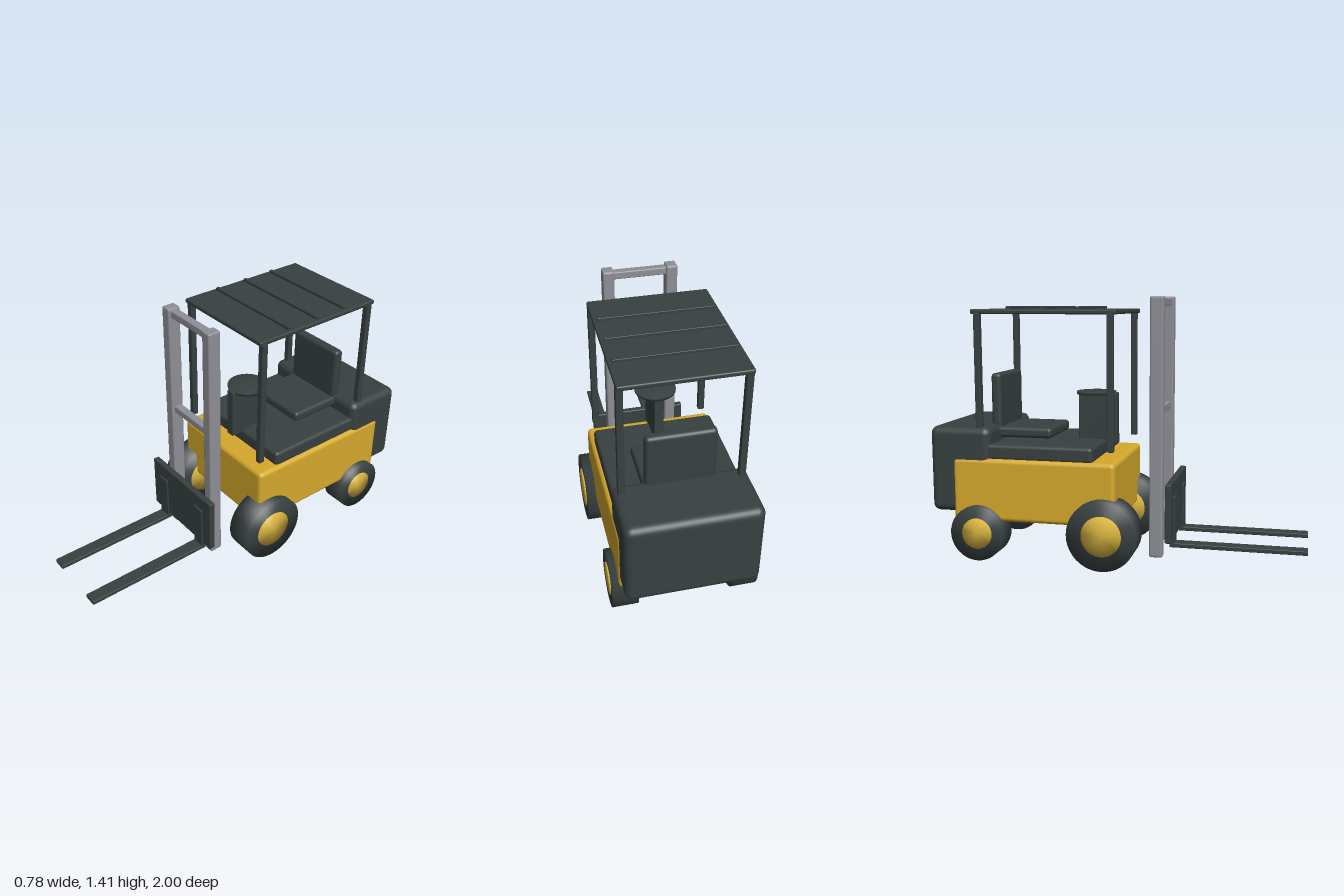
import * as THREE from 'three';
import { mergeVertices } from 'three/addons/utils/BufferGeometryUtils.js';
import { RoundedBoxGeometry } from 'three/addons/geometries/RoundedBoxGeometry.js';

const mat = (name, color) => {
  const m = new THREE.MeshStandardMaterial({ color });
  m.name = name;
  return m;
};

export function createModel() {
  const model = new THREE.Group();
  model.name = 'forklift';
  const yellow = mat('body yellow', 0xd6a92c);
  const hubYellow = mat('hub yellow', 0xd8b440);
  const dark = mat('charcoal', 0x384040);
  const steel = mat('mast grey', 0x8e8e96);

  const add = (name, geometry, material, x, y, z) => {
    const mesh = new THREE.Mesh(geometry, material);
    mesh.name = name;
    mesh.position.set(x, y, z);
    model.add(mesh);
    return mesh;
  };
  // Box from its lower and upper limits on each axis, optionally rounded
  const box = (name, material, [x0, x1], [y0, y1], [z0, z1], r = 0.005) =>
    add(name, new RoundedBoxGeometry(x1 - x0, y1 - y0, z1 - z0, 3, r), material,
      (x0 + x1) / 2, (y0 + y1) / 2, (z0 + z1) / 2);
  // The same box on both sides
  const pair = (name, material, [x0, x1], y, z, r) => {
    box(name + 'Left', material, [x0, x1], y, z, r);
    box(name + 'Right', material, [-x1, -x0], y, z, r);
  };
  // Disc whose shading runs softly across its rims
  const softDisc = (r, h) => {
    const g = new THREE.CylinderGeometry(r, r, h, 40);
    g.deleteAttribute('normal');
    g.deleteAttribute('uv');
    const merged = mergeVertices(g);
    merged.computeVertexNormals();
    return merged;
  };

  // Chassis, floor and counterweight
  box('body', yellow, [-0.343, 0.343], [0.222, 0.56], [-0.87, 0.02], 0.025);
  box('floorDeck', dark, [-0.325, 0.325], [0.55, 0.636], [-0.7, -0.103], 0.02);
  box('counterweight', dark, [-0.337, 0.337], [0.262, 0.724], [-1, -0.66], 0.04);

  // Seat
  box('seatCushion', dark, [-0.18, 0.18], [0.652, 0.71], [-0.68, -0.368], 0.02);
  box('seatBack', dark, [-0.175, 0.175], [0.65, 1.0], [-0.708, -0.652], 0.02);

  // Steering
  box('steeringColumn', dark, [-0.025, 0.025], [0.615, 0.893], [-0.256, -0.04], 0.004);
  add('steeringWheel', softDisc(0.108, 0.015), dark, 0, 0.892, -0.16);

  // Overhead guard
  pair('frontPost', dark, [0.28, 0.314], [0.615, 1.325], [-0.028, 0.006]);
  pair('rearPost', dark, [0.28, 0.314], [0.615, 1.325], [-0.743, -0.709]);
  box('roof', dark, [-0.313, 0.313], [1.32, 1.345], [-0.76, 0.02], 0.008);
  for (const z of [-0.182, -0.37, -0.558]) {
    box('roofSlat', dark, [-0.295, 0.295], [1.34, 1.36], [z - 0.01, z + 0.01], 0.003);
  }

  // Mast with crossbars
  pair('mastRail', steel, [0.138, 0.198], [0.035, 1.412], [0.172, 0.244], 0.01);
  for (const y of [0.25, 0.817, 1.382]) {
    box('mastCrossbar', steel, [-0.15, 0.15], [y - 0.02, y + 0.02], [0.185, 0.229], 0.006);
  }

  // Carriage and forks
  box('carriage', dark, [-0.266, 0.266], [0.136, 0.448], [0.268, 0.302], 0.006);
  pair('forkUpright', dark, [0.128, 0.2], [0.1, 0.37], [0.284, 0.311], 0.004);
  pair('forkBlade', dark, [0.128, 0.2], [0.099, 0.122], [0.284, 1], 0.004);

  // Wheels: tyre with a hub showing on both faces
  const wheel = (name, side, x, y, z, r, width, hubR) => {
    const tyre = add(name + 'Tyre', softDisc(r, width), dark, side * x, y, z);
    const hub = add(name + 'Hub', softDisc(hubR, width + 0.008), hubYellow, side * x, y, z);
    tyre.rotation.z = hub.rotation.z = Math.PI / 2;
  };
  for (const side of [1, -1]) {
    const label = side > 0 ? 'Left' : 'Right';
    wheel('front' + label, side, 0.314, 0.188, -0.043, 0.187, 0.148, 0.107);
    wheel('rear' + label, side, 0.31, 0.16, -0.727, 0.148, 0.13, 0.083);
  }
  return model;
}
